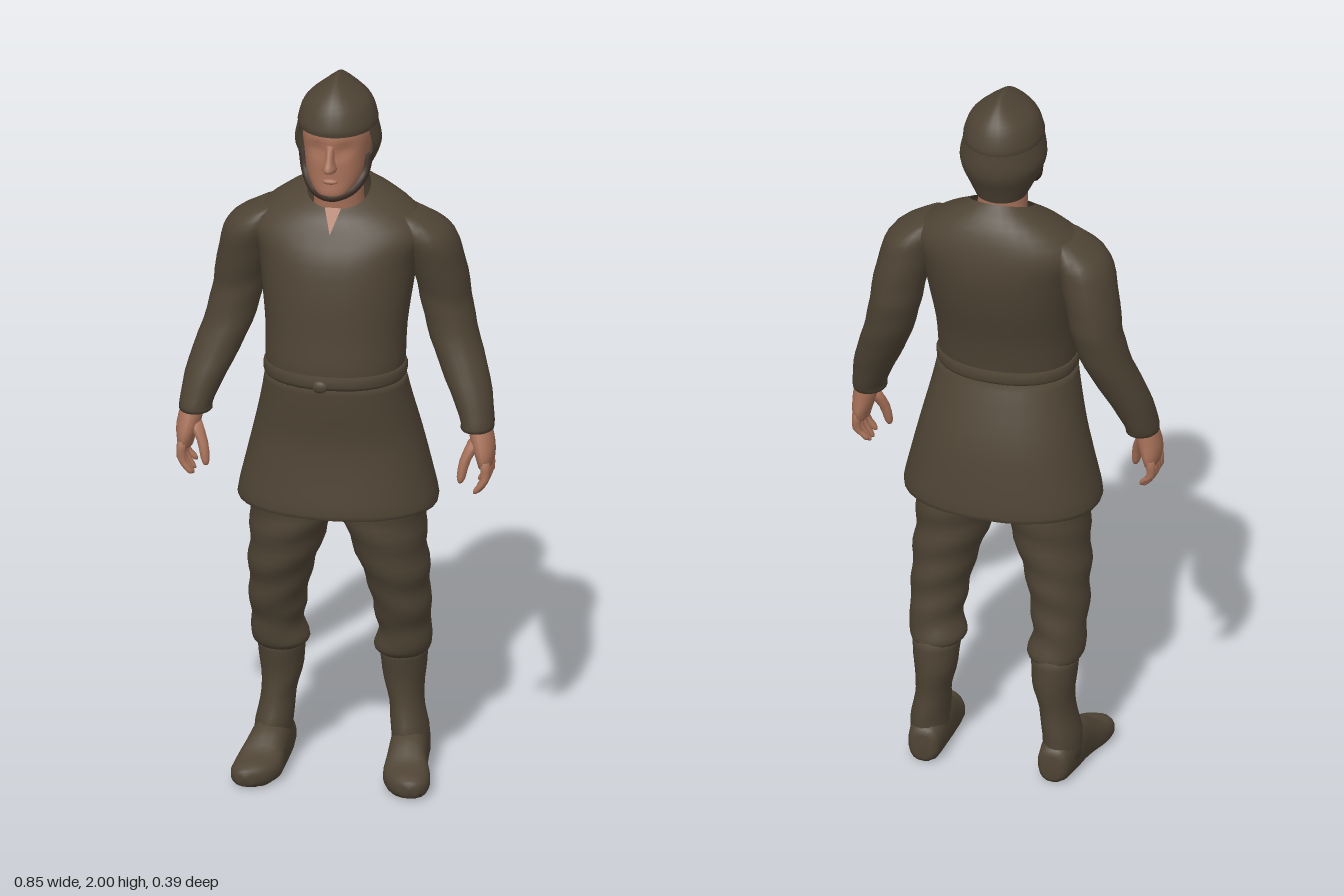
import * as THREE from 'three';

const cloth = new THREE.MeshStandardMaterial({ color: 0x4f4435, side: THREE.DoubleSide });
cloth.name = 'brown cloth';
const skin = new THREE.MeshStandardMaterial({ color: 0xa8725a, side: THREE.DoubleSide });
skin.name = 'skin';
const hair = new THREE.MeshStandardMaterial({ color: 0x3d2f26, side: THREE.DoubleSide });
hair.name = 'dark beard';

// Smooth skin through rings [cx, cy, cz, rx, rz, tilt], listed from bottom to top.
function loft(rings, o = {}) {
  const { n = 20, sub = 3, s = 1, pow = 2, from = 0, to = Math.PI * 2, wave = 0, bottom = true, top = true, warp } = o;
  const mid = new THREE.CatmullRomCurve3(rings.map(r => new THREE.Vector3(r[0] * s, r[1], r[2])), false, 'catmullrom');
  const size = new THREE.CatmullRomCurve3(rings.map(r => new THREE.Vector3(r[3], r[4], r[5] || 0)), false, 'catmullrom');
  const closed = to - from > 6.28, cols = closed ? n : n + 1, rows = (rings.length - 1) * sub;
  const pos = [], idx = [];
  const bend = v => Math.sign(v) * Math.abs(v) ** (2 / pow);
  for (let i = 0; i <= rows; i++) {
    const c = mid.getPoint(i / rows), r = size.getPoint(i / rows);
    for (let j = 0; j < cols; j++) {
      const a = from + (to - from) * j / n;
      const k = 1 + wave * Math.sin(c.y * 62 + 2 * Math.sin(a * s + 0.6));
      const u = bend(Math.sin(a)) * k, w = bend(Math.cos(a)) * k;
      const p = new THREE.Vector3(c.x + u * r.x, c.y + w * r.z, c.z + w * r.y);
      if (warp) warp(p);
      pos.push(p.x, p.y, p.z);
    }
  }
  for (let i = 0; i < rows; i++) for (let j = 0; j < n; j++) {
    const a = i * cols + j, b = i * cols + (j + 1) % cols;
    idx.push(a, b, b + cols, a, b + cols, a + cols);
  }
  // Closing fans
  const cap = (row, flip) => {
    const c = mid.getPoint(row / rows), m = pos.length / 3;
    pos.push(c.x, c.y, c.z);
    for (let j = 0; j < n; j++) {
      const a = row * cols + j, b = row * cols + (j + 1) % cols;
      idx.push(m, flip ? b : a, flip ? a : b);
    }
  };
  if (closed && bottom) cap(0, true);
  if (closed && top) cap(rows, false);
  const g = new THREE.BufferGeometry();
  g.setAttribute('position', new THREE.Float32BufferAttribute(pos, 3));
  g.setIndex(idx);
  g.computeVertexNormals();
  return g;
}

export function createModel() {
  const model = new THREE.Group();
  const add = (name, geo, mat, parent = model) => {
    const m = new THREE.Mesh(geo, mat);
    m.name = name;
    parent.add(m);
    return m;
  };

  // Tunic: flared skirt, gathered waist, chest and sloping collar
  add('tunicSkirt', loft([
    [0, 0.79, 0, 0.255, 0.18], [0, 0.805, 0, 0.268, 0.19], [0, 0.9, 0, 0.247, 0.18],
    [0, 1.0, 0.005, 0.223, 0.168], [0, 1.1, 0.025, 0.2, 0.157], [0, 1.17, 0.04, 0.187, 0.146],
  ], { n: 32, pow: 2.2, bottom: false }), cloth);
  add('tunicBody', loft([
    [0, 1.16, 0.04, 0.18, 0.14], [0, 1.21, 0.04, 0.186, 0.147], [0, 1.3, 0.027, 0.188, 0.152],
    [0, 1.4, 0.008, 0.2, 0.163], [0, 1.5, -0.01, 0.215, 0.163], [0, 1.575, -0.022, 0.235, 0.145, -0.01],
    [0, 1.635, -0.022, 0.165, 0.118, -0.022], [0, 1.672, -0.012, 0.084, 0.082, -0.034],
  ], { n: 32, pow: 2.2, top: false }), cloth);
  add('belt', loft([
    [0, 1.165, 0.04, 0.186, 0.146], [0, 1.175, 0.04, 0.191, 0.151],
    [0, 1.195, 0.04, 0.191, 0.151], [0, 1.205, 0.04, 0.185, 0.146],
  ], { n: 32, pow: 2.2, sub: 1 }), cloth);
  const knot = add('beltKnot', new THREE.SphereGeometry(0.022, 10, 8), cloth);
  knot.position.set(-0.015, 1.175, 0.188);
  knot.scale.set(1, 0.8, 0.5);
  const slit = new THREE.BufferGeometry();
  slit.setAttribute('position', new THREE.Float32BufferAttribute(
    [-0.022, 1.645, 0.08, 0, 1.585, 0.127, 0.022, 1.645, 0.08], 3));
  slit.computeVertexNormals();
  add('collarSlit', slit, skin);

  // Head with nose, eye hollows and beard
  add('neck', loft([
    [0, 1.6, -0.015, 0.07, 0.07], [0, 1.66, -0.008, 0.066, 0.068], [0, 1.76, 0, 0.066, 0.075],
  ]), skin);
  add('head', loft([
    [0, 1.685, 0.09, 0.025, 0.025], [0, 1.7, 0.068, 0.05, 0.06], [0, 1.74, 0.035, 0.075, 0.09],
    [0, 1.8, 0.012, 0.086, 0.113], [0, 1.86, 0.005, 0.091, 0.12], [0, 1.92, 0, 0.075, 0.095],
  ], {
    n: 32, pow: 2.2, sub: 4, warp: p => {
      const d = Math.hypot((Math.abs(p.x) - 0.037) / 0.025, (p.y - 1.825) / 0.02);
      if (p.z > 0) p.z -= 0.014 * Math.exp(-d * d);
    },
  }), skin);
  add('nose', loft([
    [0, 1.763, 0.118, 0.012, 0.018], [0, 1.775, 0.124, 0.02, 0.036],
    [0, 1.8, 0.122, 0.013, 0.027], [0, 1.84, 0.115, 0.011, 0.014],
  ], { n: 10 }), skin);
  add('lips', new THREE.SphereGeometry(0.022, 10, 6).scale(1, 0.35, 0.4).translate(0, 1.738, 0.125), skin);
  add('beard', new THREE.TubeGeometry(new THREE.CatmullRomCurve3([
    [-0.088, 1.79, 0.035], [-0.077, 1.735, 0.05], [-0.048, 1.7, 0.09], [0, 1.69, 0.117],
    [0.048, 1.7, 0.09], [0.077, 1.735, 0.05], [0.088, 1.79, 0.035],
  ].map(p => new THREE.Vector3(...p))), 30, 0.013, 8), hair);

  // Close cap with a crest, and its flap over ears and nape
  add('cap', loft([
    [0, 1.865, 0.004, 0.105, 0.127], [0, 1.885, 0.004, 0.105, 0.128], [0, 1.93, 0.003, 0.088, 0.112],
    [0, 1.965, 0.002, 0.048, 0.083], [0, 1.99, 0, 0.015, 0.045], [0, 2.0, 0, 0.003, 0.01],
  ], { n: 28, bottom: false }), cloth);
  add('capFlap', loft([
    [0, 1.705, -0.015, 0.068, 0.07], [0, 1.745, -0.01, 0.088, 0.092], [0, 1.785, -0.004, 0.107, 0.117],
    [0, 1.82, 0, 0.115, 0.126], [0, 1.87, 0.004, 0.105, 0.127],
  ], { n: 24, from: 1.1, to: Math.PI * 2 - 1.1 }), cloth);

  for (const s of [1, -1]) {
    const side = s > 0 ? 'left' : 'right';

    // Sleeve
    add(side + 'Sleeve', loft([
      [0.185, 1.61, -0.03, 0.03, 0.06], [0.225, 1.565, -0.035, 0.068, 0.09], [0.25, 1.5, -0.045, 0.073, 0.094],
      [0.272, 1.4, -0.06, 0.07, 0.084], [0.282, 1.34, -0.06, 0.068, 0.078], [0.306, 1.25, -0.045, 0.066, 0.072],
      [0.345, 1.15, -0.012, 0.06, 0.066], [0.376, 1.055, 0.018, 0.046, 0.06], [0.378, 1.025, 0.025, 0.044, 0.055],
    ].reverse(), { s, wave: 0.015 }), cloth);

    // Hand: palm, four curled fingers and a thumb
    const hand = new THREE.Group();
    hand.name = side + 'Hand';
    model.add(hand);
    add('palm', loft([
      [0.402, 0.925, 0.036, 0.018, 0.045], [0.402, 0.95, 0.036, 0.025, 0.053],
      [0.395, 0.99, 0.034, 0.032, 0.048], [0.382, 1.05, 0.025, 0.032, 0.037],
    ], { s, n: 14 }), skin, hand);
    for (let f = 0; f < 4; f++) {
      const z = 0.074 - f * 0.025, y = 0.85 + [0.008, 0, 0.003, 0.018][f];
      add('finger', loft([
        [0.382, y, z + 0.006, 0.006, 0.007], [0.39, y + 0.012, z + 0.006, 0.011, 0.011],
        [0.409, 0.9, z + 0.003, 0.012, 0.012], [0.406, 0.945, z, 0.014, 0.014],
      ], { s, n: 8, sub: 2 }), skin, hand);
    }
    add('thumb', loft([
      [0.342, 0.885, 0.078, 0.006, 0.008], [0.344, 0.9, 0.076, 0.012, 0.013],
      [0.353, 0.945, 0.066, 0.015, 0.016], [0.378, 0.995, 0.045, 0.02, 0.022],
    ], { s, n: 8, sub: 2 }), skin, hand);

    // Baggy trouser leg, bunched below the knee
    add(side + 'TrouserLeg', loft([
      [0.165, 0.335, -0.06, 0.055, 0.065], [0.165, 0.36, -0.052, 0.076, 0.085], [0.17, 0.42, -0.045, 0.069, 0.083],
      [0.168, 0.47, -0.03, 0.076, 0.093], [0.162, 0.53, -0.022, 0.079, 0.1], [0.153, 0.6, -0.01, 0.089, 0.112],
      [0.132, 0.7, 0, 0.103, 0.122], [0.119, 0.8, 0.002, 0.118, 0.128], [0.11, 0.95, 0.005, 0.112, 0.13],
    ], { s, n: 22, sub: 4, wave: 0.032 }), cloth);

    // Boot: shaft, then a foot turned slightly outward with a flat sole
    add(side + 'BootShaft', loft([
      [0.185, 0.05, -0.06, 0.05, 0.075], [0.182, 0.12, -0.058, 0.05, 0.078], [0.171, 0.2, -0.066, 0.046, 0.068],
      [0.164, 0.28, -0.07, 0.058, 0.073], [0.165, 0.36, -0.06, 0.065, 0.078],
    ], { s, n: 18, wave: 0.015 }), cloth);
    const foot = loft([
      [0.18, -0.143, -0.045, 0.025, 0.035], [0.18, -0.125, -0.05, 0.044, 0.055], [0.184, -0.04, -0.06, 0.052, 0.075],
      [0.19, 0.03, -0.05, 0.055, 0.07], [0.2, 0.09, -0.035, 0.064, 0.042],
      [0.212, 0.14, -0.03, 0.052, 0.034], [0.22, 0.167, -0.03, 0.024, 0.02],
    ], { s, n: 18, pow: 2.4, warp: p => { p.z = Math.min(p.z, 0); } });
    add(side + 'BootFoot', foot.rotateX(Math.PI / 2), cloth);
  }
  return model;
}
